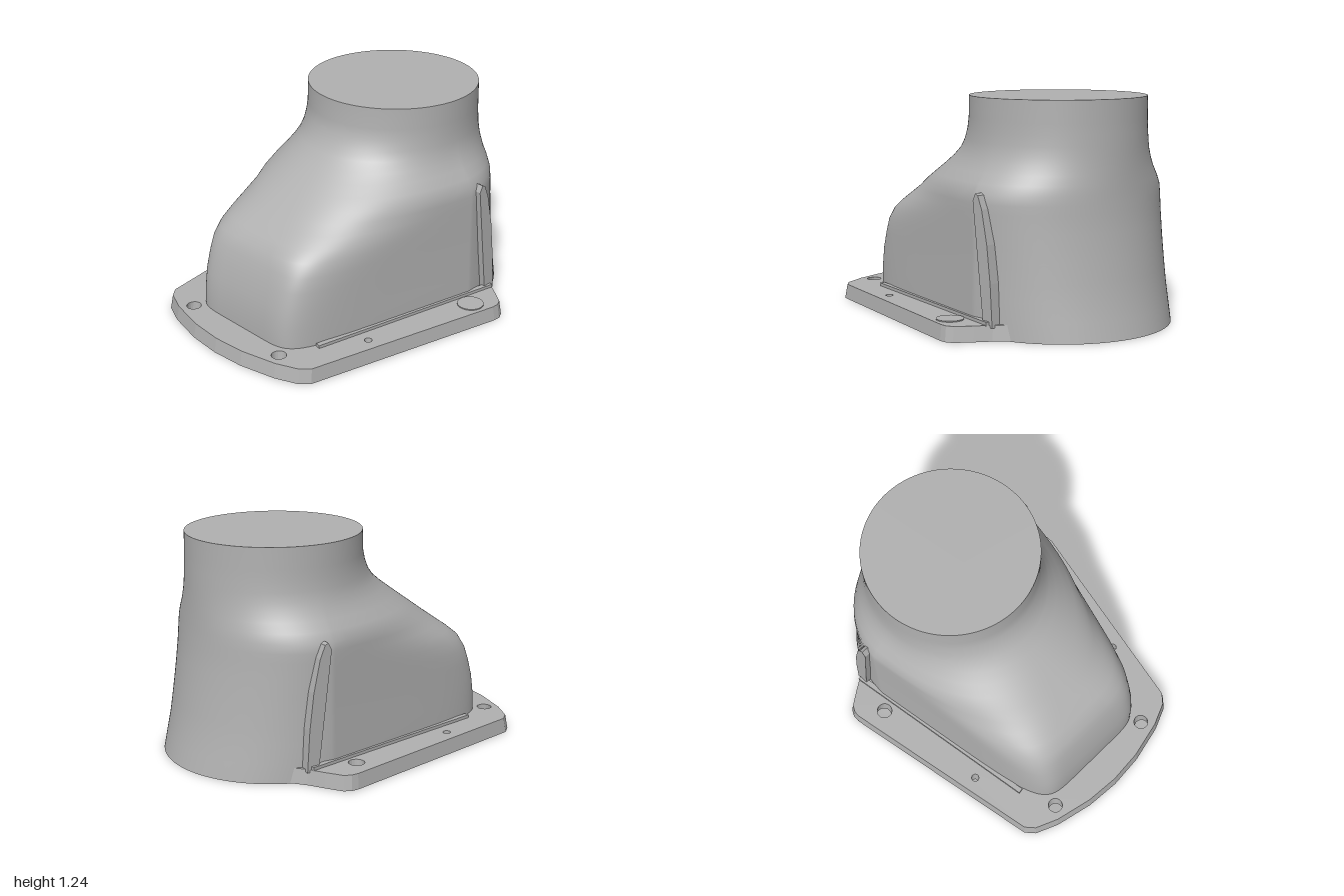
import * as THREE from 'three';

const CX = 0.365; // axis of the round neck
const SIDES = 144;

// Cross-sections of the body: height, front x, back x, half width, corner squareness
const LEVELS = [
  [0.0, -0.81, 1.0, 0.625, 8],
  [0.1, -0.81, 0.975, 0.625, 8],
  [0.2, -0.805, 0.95, 0.623, 8],
  [0.3, -0.79, 0.932, 0.621, 8],
  [0.4, -0.765, 0.915, 0.62, 7.5],
  [0.48, -0.738, 0.902, 0.62, 7],
  [0.55, -0.705, 0.892, 0.62, 5.6],
  [0.6, -0.65, 0.885, 0.62, 4.6],
  [0.65, -0.585, 0.88, 0.62, 3.8],
  [0.7, -0.52, 0.875, 0.62, 3.2],
  [0.75, -0.455, 0.871, 0.615, 2.8],
  [0.8, -0.39, 0.868, 0.588, 2.5],
  [0.85, -0.325, 0.865, 0.55, 2.3],
  [0.9, -0.26, 0.863, 0.522, 2.15],
  [0.95, -0.203, 0.861, 0.503, 2.05],
  [1.0, -0.165, 0.86, 0.493, 2],
  [1.06, -0.138, 0.858, 0.488, 2],
  [1.12, -0.124, 0.856, 0.486, 2],
  [1.24, -0.12, 0.855, 0.485, 2],
];

// One closed ring: half ellipse at the back, tapering rounded box at the front
function ring([y, front, back, width, n]) {
  const taper = 0.28 * THREE.MathUtils.clamp((1 - y) / 0.3, 0, 1);
  const points = [];
  for (let i = 0; i < SIDES; i++) {
    const a = (i / SIDES) * Math.PI * 2;
    const c = Math.cos(a), s = Math.sin(a);
    if (c >= 0) {
      points.push([CX + (back - CX) * c, y, width * s]);
    } else {
      const x = CX - (CX - front) * Math.pow(-c, 2 / n);
      const z = width * (1 + taper * (x - CX)) * Math.pow(Math.abs(s), 2 / n);
      points.push([x, y, z * Math.sign(s)]);
    }
  }
  return points;
}

function build(points, index) {
  const g = new THREE.BufferGeometry();
  g.setAttribute('position', new THREE.Float32BufferAttribute(points.flat(), 3));
  g.setIndex(index);
  g.computeVertexNormals();
  return g;
}

function loft() {
  const index = [];
  for (let j = 0; j < LEVELS.length - 1; j++) {
    for (let i = 0; i < SIDES; i++) {
      const k = (i + 1) % SIDES;
      const a = j * SIDES + i, b = j * SIDES + k;
      const c = a + SIDES, d = b + SIDES;
      index.push(a, c, b, b, c, d);
    }
  }
  return build(LEVELS.flatMap(ring), index);
}

function cap(level, up) {
  const index = [];
  for (let i = 0; i < SIDES; i++) {
    const k = (i + 1) % SIDES;
    index.push(SIDES, up ? k : i, up ? i : k);
  }
  return build([...ring(level), [CX - 0.1, level[0], 0]], index);
}

// Mounting flange with screw holes, slightly narrower at its top
function flangeGeometry() {
  const half = [
    [-1, 0], [-0.985, 0.2], [-0.935, 0.42], [-0.88, 0.55], [-0.83, 0.595],
    [0.36, 0.835], [0.4, 0.835], [0.44, 0.815], [0.5, 0.73], [0.555, 0.645], [0.62, 0.57],
  ];
  const outline = [...half, [0.8, 0], ...half.slice(1).reverse().map(([x, z]) => [x, -z])];
  const shape = new THREE.Shape(outline.map(([x, z]) => new THREE.Vector2(x, -z)));
  const holes = [
    [-0.865, 0.37, 0.042], [-0.865, -0.37, 0.042], [0.28, -0.7, 0.045],
    [-0.41, 0.595, 0.022], [-0.41, -0.595, 0.022],
  ];
  for (const [x, z, r] of holes) {
    shape.holes.push(new THREE.Path().absarc(x, -z, r, 0, Math.PI * 2, true));
  }
  const g = new THREE.ExtrudeGeometry(shape, { depth: 0.083, bevelEnabled: false, curveSegments: 10 });
  g.rotateX(-Math.PI / 2).translate(0, 0.002, 0);
  const p = g.attributes.position;
  for (let i = 0; i < p.count; i++) {
    if (p.getY(i) > 0.04) p.setXYZ(i, p.getX(i) * 0.985, p.getY(i), p.getZ(i) * 0.985);
  }
  g.computeVertexNormals();
  return g;
}

// Leaning rib that closes the back edge of a side panel
function ribGeometry() {
  const shape = new THREE.Shape([
    [0.485, 0.07], [0.555, 0.07], [0.54, 0.3], [0.515, 0.5], [0.475, 0.68],
    [0.445, 0.75], [0.425, 0.76], [0.405, 0.72],
  ].map(([x, y]) => new THREE.Vector2(x, y)));
  const g = new THREE.ExtrudeGeometry(shape, { depth: 0.1, bevelEnabled: false });
  return g.translate(0, 0, 0.548);
}

export function createModel() {
  const model = new THREE.Group();
  const grey = new THREE.MeshStandardMaterial({ color: 0xb0b0b0 });
  grey.name = 'plain grey';

  const add = (name, geometry) => {
    const mesh = new THREE.Mesh(geometry, grey);
    mesh.name = name;
    model.add(mesh);
    return mesh;
  };

  add('body', loft());
  add('neckTop', cap(LEVELS[LEVELS.length - 1], true));
  add('underside', cap(LEVELS[0], false));
  add('flange', flangeGeometry());

  for (const side of [1, -1]) {
    const label = side > 0 ? 'front' : 'rear';
    const rib = add(label + 'Rib', ribGeometry());
    if (side < 0) {
      rib.geometry.translate(0, 0, -1.196);
    }
    // Low trim where the side panel meets the flange
    const trim = add(label + 'FootTrim', new THREE.BoxGeometry(1.2, 0.025, 0.03));
    trim.position.set(-0.06, 0.09, side * 0.552);
    trim.rotation.y = -side * Math.atan(0.17);
  }

  // Covered screw seat on the front ear
  const seat = add('screwSeat', new THREE.CylinderGeometry(0.075, 0.075, 0.008, 24));
  seat.position.set(0.29, 0.087, 0.71);

  return model;
}
